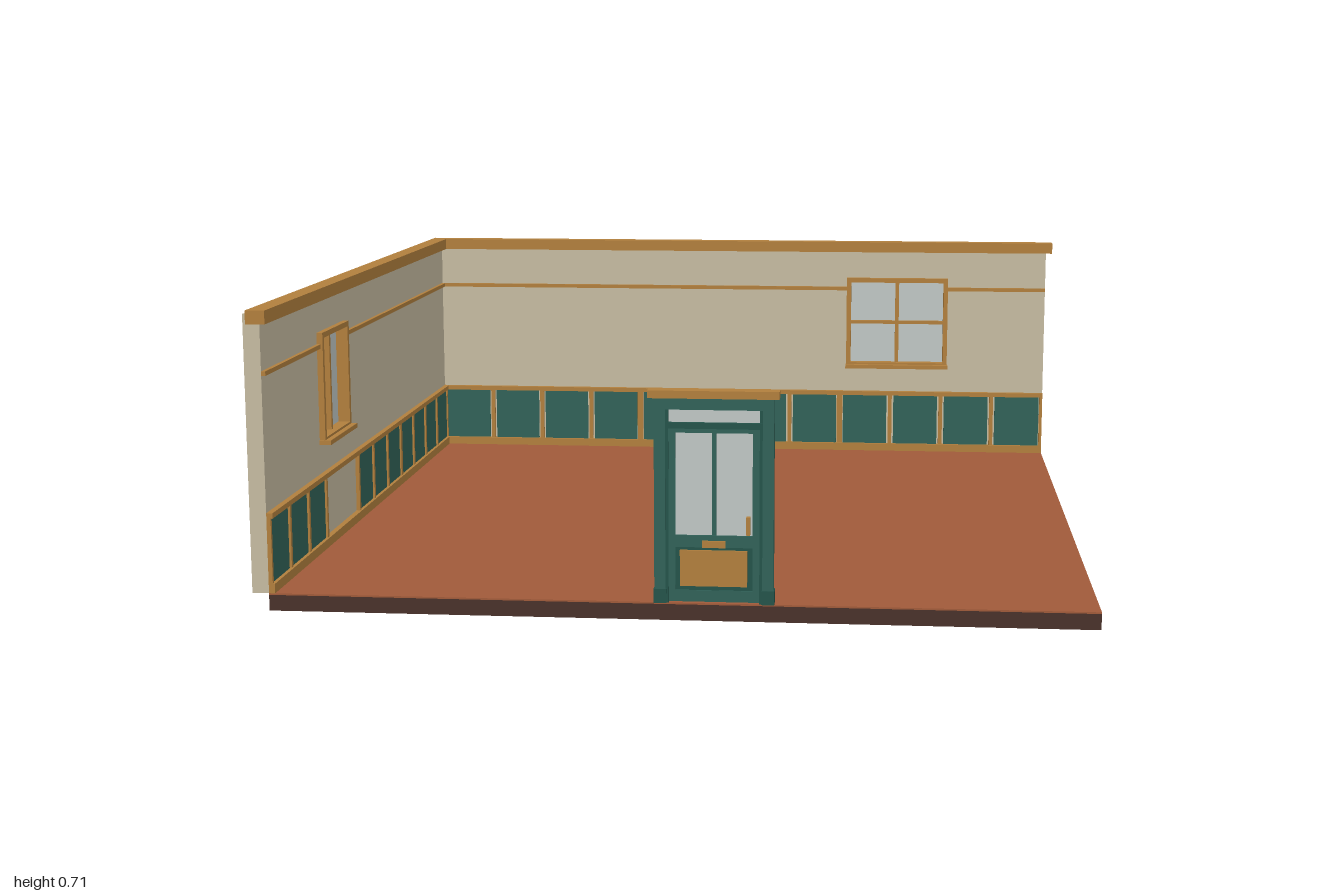
import * as THREE from 'three';

const mat = (name, color, extra = {}) => {
  const m = new THREE.MeshStandardMaterial({ color, ...extra });
  m.name = name;
  return m;
};

export function createModel() {
  const cream = mat('cream plaster', 0xc9bea4);
  const wood = mat('oak trim', 0xb5823f);
  const green = mat('green panel', 0x32645a);
  const darkGreen = mat('dark green frame', 0x25554c);
  const glass = mat('pale glass', 0xc3cbc8);
  const tile = mat('terracotta floor', 0xa35c3b);
  const dark = mat('dark base', 0x4a322b);

  const room = new THREE.Group();
  room.name = 'room';

  // Box given by its limits on each axis
  const box = (parent, name, m, [x0, x1], [y0, y1], [z0, z1]) => {
    const mesh = new THREE.Mesh(new THREE.BoxGeometry(x1 - x0, y1 - y0, z1 - z0), m);
    mesh.position.set((x0 + x1) / 2, (y0 + y1) / 2, (z0 + z1) / 2);
    mesh.name = name;
    parent.add(mesh);
    return mesh;
  };

  // Rectangular frame with a hole, lying in the xy plane
  const frame = (parent, name, m, [x0, x1], [y0, y1], [z0, z1], t) => {
    box(parent, name + 'Left', m, [x0, x0 + t], [y0, y1], [z0, z1]);
    box(parent, name + 'Right', m, [x1 - t, x1], [y0, y1], [z0, z1]);
    box(parent, name + 'Bottom', m, [x0 + t, x1 - t], [y0, y0 + t], [z0, z1]);
    box(parent, name + 'Top', m, [x0 + t, x1 - t], [y1 - t, y1], [z0, z1]);
  };

  // Floor slab with a tiled top
  box(room, 'floorBase', dark, [-0.96, 0.98], [0, 0.038], [-0.96, 0.98]);
  box(room, 'floorTop', tile, [-0.96, 0.98], [0.038, 0.042], [-0.96, 0.98]);

  // One wall along x, its inner face at z = -0.96
  const FACE = -0.96, COUNT = 12, SILL = 0.315, HEAD = 0.6;
  const makeWall = (name, [u0, u1], [w0, w1], rail, crossBar, skipPanels, skipPosts) => {
    const g = new THREE.Group();
    g.name = name;
    const depth = [-1, FACE];

    // Plaster around the window opening
    box(g, 'wallLeft', cream, [u0, w0], [0.042, 0.705], depth);
    box(g, 'wallRight', cream, [w1, u1], [0.042, 0.705], depth);
    box(g, 'wallBelowWindow', cream, [w0, w1], [0.042, SILL], depth);
    box(g, 'wallAboveWindow', cream, [w0, w1], [HEAD, 0.705], depth);

    // Horizontal mouldings
    box(g, 'topRail', wood, rail, [0.683, 0.715], [-0.988, -0.942]);
    box(g, 'baseboard', wood, [u0, u1], [0.042, 0.065], [FACE, -0.945]);
    box(g, 'chairRail', wood, [u0, u1], [0.222, 0.235], [FACE, -0.945]);
    box(g, 'pictureRailLeft', wood, [u0, w0], [0.56, 0.571], [FACE, -0.95]);
    box(g, 'pictureRailRight', wood, [w1, u1], [0.56, 0.571], [FACE, -0.95]);

    // Wainscot panels and the posts between them
    const pitch = (u1 - u0) / COUNT;
    for (let i = 0; i <= COUNT; i++) {
      const u = u0 + i * pitch;
      if (i < COUNT && !skipPanels.includes(i)) {
        box(g, 'wainscotPanel', green, [u + 0.011, u + pitch - 0.011], [0.065, 0.222], [FACE, -0.954]);
      }
      if (skipPosts.includes(i)) continue;
      const half = i % 4 === 0 ? 0.009 : 0.006;
      box(g, 'wainscotPost', wood, [Math.max(u0, u - half), Math.min(u1, u + half)], [0.065, 0.222], [FACE, -0.95]);
    }

    // Window
    const mid = (w0 + w1) / 2;
    frame(g, 'windowFrame', wood, [w0, w1], [SILL, HEAD], [-0.99, -0.945], 0.014);
    box(g, 'windowGlass', glass, [w0 + 0.014, w1 - 0.014], [SILL + 0.014, HEAD - 0.014], [-0.983, -0.977]);
    box(g, 'windowMullion', wood, [mid - 0.006, mid + 0.006], [SILL + 0.014, HEAD - 0.014], [-0.988, -0.962]);
    if (crossBar) box(g, 'windowCrossBar', wood, [w0 + 0.014, w1 - 0.014], [0.452, 0.462], [-0.987, -0.964]);
    box(g, 'windowSill', wood, [w0 - 0.002, w1 + 0.002], [0.311, 0.323], [FACE, -0.93]);
    room.add(g);
    return g;
  };

  makeWall('backWall', [-0.96, 0.98], [0.353, 0.674], [-0.988, 0.998], true, [], []);
  const side = makeWall('sideWall', [-0.98, 0.96], [-0.515, -0.26], [-0.998, 0.942], false, [3, 4], [4]);
  side.rotation.y = Math.PI / 2;
  box(room, 'cornerPost', cream, [-0.99, -0.96], [0.042, 0.705], [-0.99, -0.96]);

  // Door standing alone at the front edge
  const door = new THREE.Group();
  door.name = 'door';
  room.add(door);
  for (const [x0, x1, inner] of [[-0.045, -0.019, -0.012], [0.205, 0.231, 0.198]]) {
    box(door, 'jamb', green, [x0, x1], [0.042, 0.522], [0.956, 0.984]);
    box(door, 'jambPlinth', darkGreen, [x0 - 0.002, x1 + 0.002], [0.042, 0.075], [0.954, 0.986]);
    box(door, 'jambStop', darkGreen, [Math.min(x0, inner) < x0 ? inner : x1 - 0.001, inner > x1 ? inner : x0].sort((a, b) => a - b), [0.042, 0.505], [0.96, 0.98]);
  }
  box(door, 'lintel', green, [-0.019, 0.205], [0.496, 0.522], [0.957, 0.983]);
  box(door, 'doorCap', wood, [-0.06, 0.243], [0.522, 0.54], [0.95, 0.985]);
  box(door, 'transomGlass', glass, [-0.012, 0.198], [0.464, 0.496], [0.968, 0.972]);
  box(door, 'transomBar', darkGreen, [-0.019, 0.205], [0.452, 0.466], [0.958, 0.982]);

  // Door leaf: stiles, rails, glazing and lower panel
  const leaf = [0.962, 0.978];
  box(door, 'stile', green, [-0.012, 0.004], [0.045, 0.452], leaf);
  box(door, 'stile', green, [0.182, 0.198], [0.045, 0.452], leaf);
  box(door, 'topDoorRail', green, [0.004, 0.182], [0.442, 0.452], leaf);
  box(door, 'lockRail', green, [0.004, 0.182], [0.174, 0.202], leaf);
  box(door, 'bottomDoorRail', green, [0.004, 0.182], [0.045, 0.072], leaf);
  box(door, 'lowerPanel', darkGreen, [0.004, 0.182], [0.072, 0.174], [0.965, 0.975]);
  box(door, 'doorGlass', glass, [0.004, 0.182], [0.202, 0.442], [0.967, 0.973]);
  box(door, 'doorMullion', green, [0.088, 0.098], [0.202, 0.442], [0.963, 0.977]);
  box(door, 'kickPlate', wood, [0.014, 0.17], [0.082, 0.167], [0.975, 0.98]);
  box(door, 'letterPlate', wood, [0.066, 0.12], [0.174, 0.19], [0.978, 0.983]);
  box(door, 'handle', wood, [0.168, 0.177], [0.206, 0.248], [0.973, 0.988]);

  return room;
}
